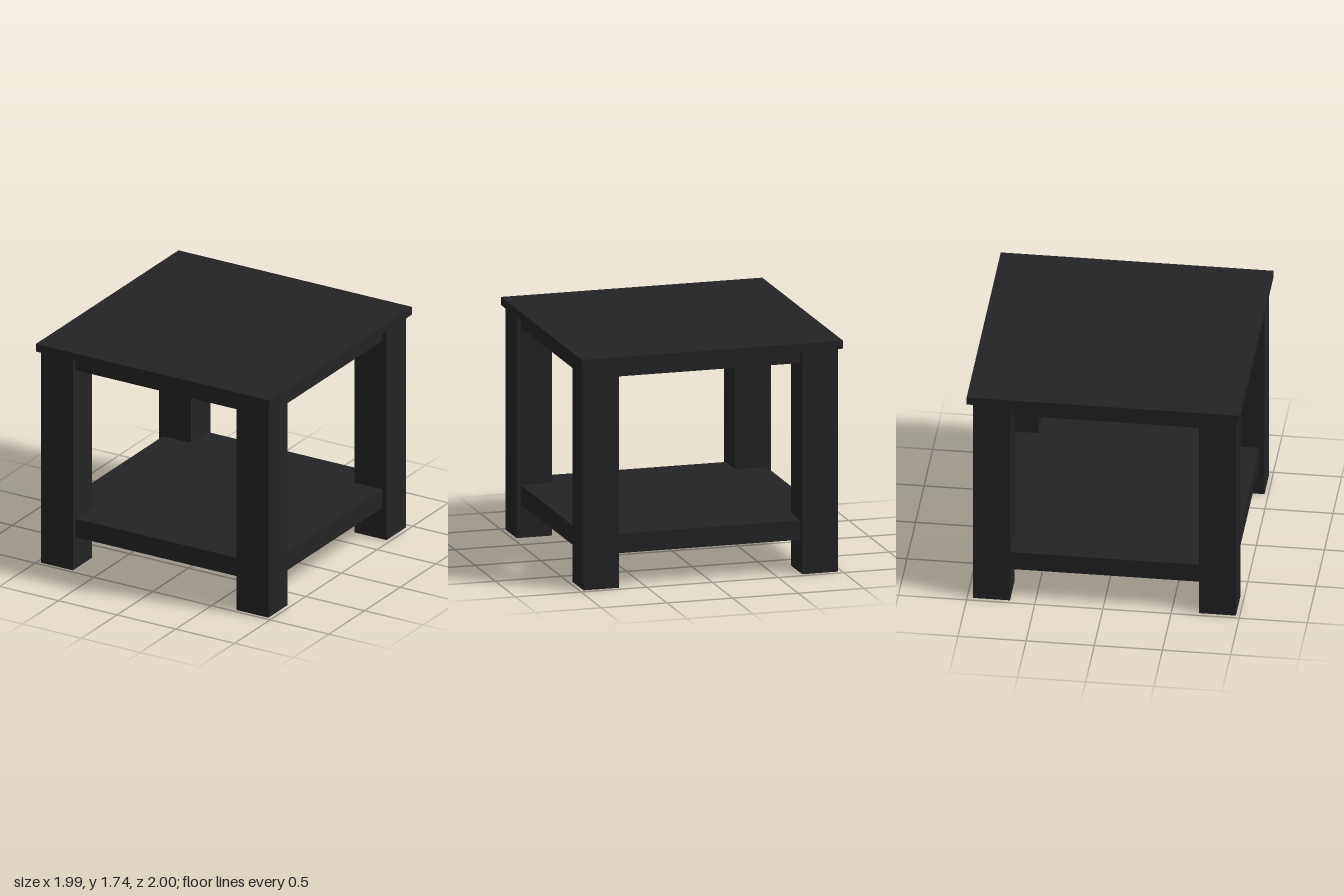
import * as THREE from 'three';

const material = new THREE.MeshStandardMaterial({ color: 0x232325, side: THREE.DoubleSide });

// Box from its min and max on each axis; hollow ones have no underside
function box(name, [x0, x1], [y0, y1], [z0, z1], hollow = false) {
  const geometry = new THREE.BoxGeometry(x1 - x0, y1 - y0, z1 - z0);
  if (hollow) {
    const index = Array.from(geometry.index.array);
    index.splice(18, 6); // the -y face
    geometry.setIndex(index);
    geometry.clearGroups();
  }
  const mesh = new THREE.Mesh(geometry, material);
  mesh.name = name;
  mesh.position.set((x0 + x1) / 2, (y0 + y1) / 2, (z0 + z1) / 2);
  return mesh;
}

export function createModel() {
  const table = new THREE.Group();
  table.name = 'sideTable';

  const frameX = [-0.935, 0.935];
  const frameZ = [-0.92, 0.935];

  // Table top with a small overhang
  table.add(box('tableTop', [-0.995, 0.995], [1.68, 1.74], [-1, 1]));

  // Apron under the top and the lower shelf, both set back from the leg faces
  table.add(box('apron', frameX, [1.575, 1.678], frameZ, true));
  table.add(box('shelf', frameX, [0.25, 0.395], frameZ, true));

  // Four square legs, open at the foot
  const legX = { left: [0.697, 0.968], right: [-0.968, -0.697] };
  const legZ = { front: [0.7, 0.972], back: [-0.957, -0.685] };
  for (const [zName, z] of Object.entries(legZ)) {
    for (const [xName, x] of Object.entries(legX)) {
      const side = xName[0].toUpperCase() + xName.slice(1);
      table.add(box(`${zName}${side}Leg`, x, [0, 1.679], z, true));
    }
  }
  return table;
}
